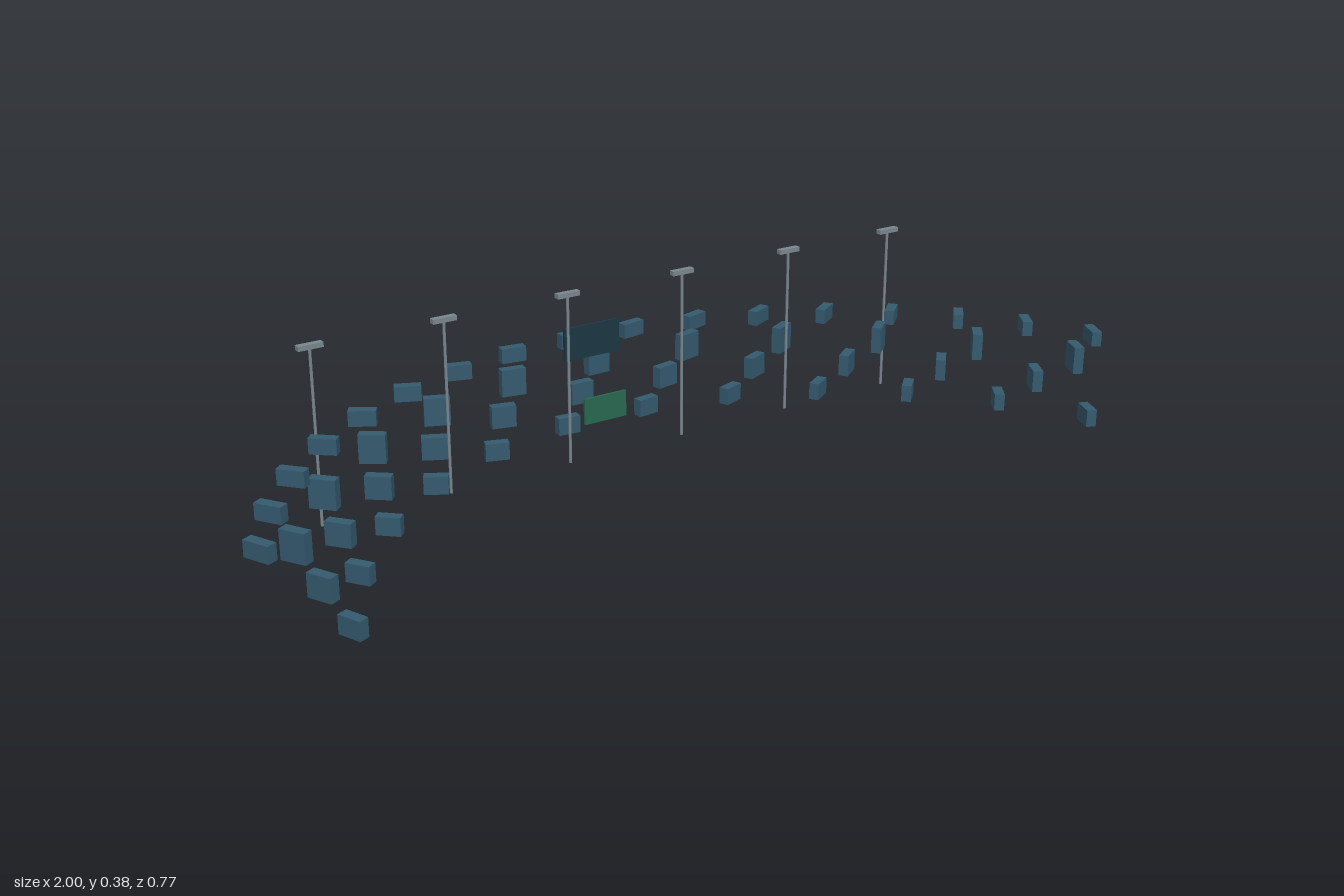
import * as THREE from 'three';

const mat = (color) => new THREE.MeshStandardMaterial({ color });

export function createModel() {
  const group = new THREE.Group();
  const blue = mat(0x34596e);
  const dark = mat(0x1b3642);
  const green = mat(0x276850);
  const metal = mat(0x7a868e);

  const add = (name, geometry, material, x, y, z, parent = group) => {
    const mesh = new THREE.Mesh(geometry, material);
    mesh.name = name;
    mesh.position.set(x, y, z);
    parent.add(mesh);
    return mesh;
  };

  // Four curved tiers of floating blocks, each turned against the curve
  const centreZ = 0.7095;
  const tiers = [
    { r: 0.935, y0: 0.033, y1: 0.071, w: 0.05, n: 12, start: -67.8, step: 12.33 },
    { r: 0.983, y0: 0.072, y1: 0.12, w: 0.053, n: 11, start: -63.7, step: 12.33 },
    { r: 1.032, y0: 0.111, y1: 0.171, w: 0.054, n: 11, start: -59.6, step: 12.33 },
    { r: 1.081, y0: 0.164, y1: 0.197, w: 0.056, n: 17, start: -64.8, step: 8.1 },
  ];
  tiers.forEach((t, k) => {
    const tier = new THREE.Group();
    tier.name = `blockTier${k + 1}`;
    group.add(tier);
    const geometry = new THREE.BoxGeometry(t.w, t.y1 - t.y0, 0.022);
    for (let i = 0; i < t.n; i++) {
      const a = THREE.MathUtils.degToRad(t.start + i * t.step);
      const block = add('block', geometry, blue,
        t.r * Math.sin(a), (t.y0 + t.y1) / 2, centreZ - t.r * Math.cos(a), tier);
      block.rotation.y = a;
    }
  });

  // Central screens
  add('upperScreen', new THREE.BoxGeometry(0.138, 0.074, 0.007), dark, 0, 0.206, -0.282);
  add('lowerScreen', new THREE.BoxGeometry(0.105, 0.059, 0.006), green, 0, 0.066, -0.229);

  // Row of lamp posts with flat heads
  const pole = new THREE.CylinderGeometry(0.0032, 0.0032, 0.37, 8);
  const head = new THREE.BoxGeometry(0.052, 0.01, 0.014);
  for (let i = 0; i < 6; i++) {
    const post = new THREE.Group();
    post.name = 'lampPost';
    post.position.set((i - 2.5) * 0.282, 0, -0.1415);
    group.add(post);
    add('pole', pole, metal, 0, 0.185, 0, post);
    add('lampHead', head, metal, 0, 0.3725, 0, post);
  }
  return group;
}
